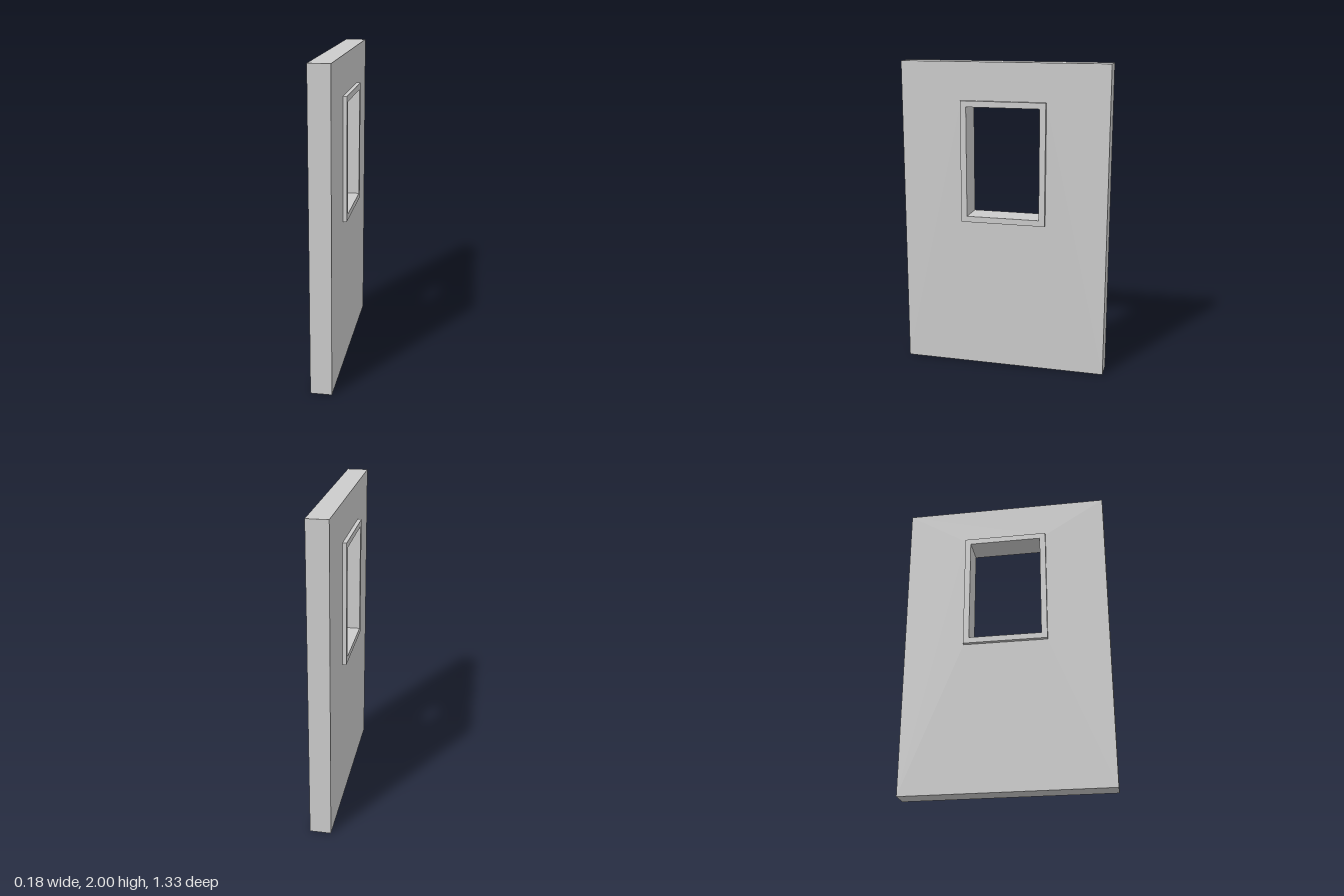
import * as THREE from 'three';

// Rectangular slab with a rectangular hole, lying in the z-y plane and centred on x = 0
function piercedSlab(name, outer, hole, thickness, material) {
  const corners = ({ w, y0, y1 }) => [[-w, y0], [w, y0], [w, y1], [-w, y1]].map(([x, y]) => new THREE.Vector2(x, y));
  const shape = new THREE.Shape(corners(outer));
  shape.holes.push(new THREE.Path(corners(hole).reverse()));
  const geometry = new THREE.ExtrudeGeometry(shape, { depth: thickness, bevelEnabled: false });
  geometry.translate(0, 0, -thickness / 2);
  geometry.rotateY(Math.PI / 2);
  const mesh = new THREE.Mesh(geometry, material);
  mesh.name = name;
  return mesh;
}

export function createModel() {
  const group = new THREE.Group();
  group.name = 'wallWithWindow';
  const material = new THREE.MeshStandardMaterial({ color: 0xcccccc });

  // Half width (z) and height range of each outline
  const wall = { w: 0.667, y0: 0, y1: 2 };
  const frame = { w: 0.274, y0: 0.98, y1: 1.76 };
  const opening = { w: 0.236, y0: 1.018, y1: 1.722 };

  // Wall panel, cut to receive the frame
  group.add(piercedSlab('wallPanel', wall, frame, 0.133, material));
  // Window frame, lining the opening and standing proud on both faces
  group.add(piercedSlab('windowFrame', frame, opening, 0.183, material));

  return group;
}
